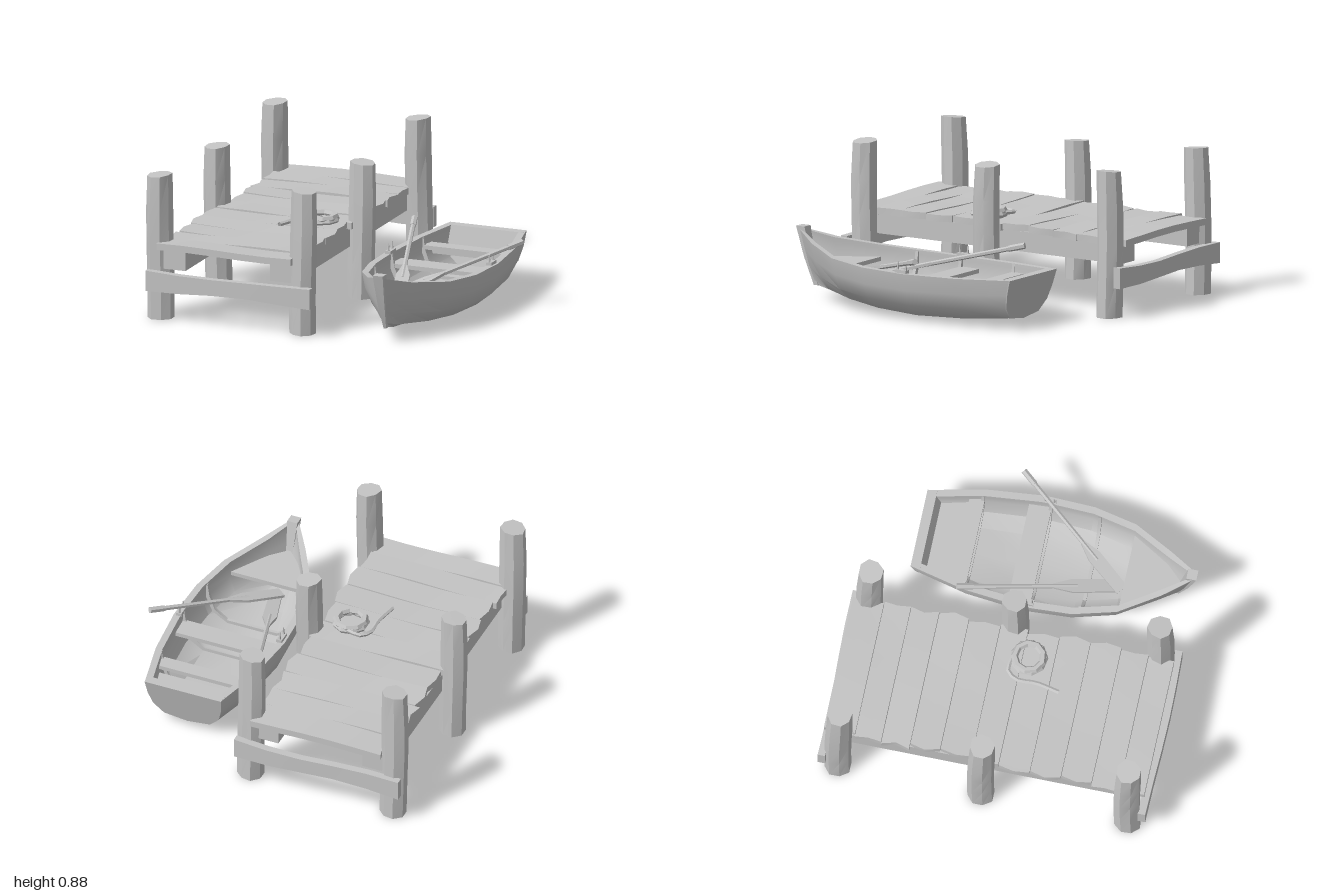
import * as THREE from 'three';
import { toCreasedNormals } from 'three/addons/utils/BufferGeometryUtils.js';

const wood = new THREE.MeshStandardMaterial({ color: 0xc4c4c4, side: THREE.DoubleSide });
wood.name = 'weatheredGrey';

let seed = 7;
const rand = () => { seed = (seed * 16807) % 2147483647; return seed / 2147483647 - 0.5; };

function part(parent, name, geo, x = 0, y = 0, z = 0) {
  const mesh = new THREE.Mesh(toCreasedNormals(geo, 0.6), wood);
  mesh.name = name;
  mesh.position.set(x, y, z);
  parent.add(mesh);
  return mesh;
}

// Move every vertex by a rule fn(v)
function warp(geo, fn) {
  const p = geo.attributes.position, v = new THREE.Vector3();
  for (let i = 0; i < p.count; i++) {
    v.fromBufferAttribute(p, i);
    fn(v);
    p.setXYZ(i, v.x, v.y, v.z);
  }
  return geo;
}

// Skin closed rings of equal length, with fan caps at both ends
function loft(rings) {
  const n = rings[0].length, pos = rings.flat(2), idx = [];
  for (let r = 0; r < rings.length - 1; r++) {
    for (let i = 0; i < n; i++) {
      const a = r * n + i, b = r * n + (i + 1) % n;
      idx.push(a, b, a + n, b, b + n, a + n);
    }
  }
  const last = (rings.length - 1) * n;
  for (let i = 1; i < n - 1; i++) {
    idx.push(0, i + 1, i, last, last + i, last + i + 1);
  }
  const geo = new THREE.BufferGeometry();
  geo.setAttribute('position', new THREE.Float32BufferAttribute(pos, 3));
  geo.setIndex(idx);
  return geo;
}

// Flat board from an outline in x and z, top at height y
function board(parent, name, outline, y, thick) {
  const shape = new THREE.Shape(outline.map(([x, z]) => new THREE.Vector2(x, z)));
  const geo = new THREE.ExtrudeGeometry(shape, { depth: thick, bevelEnabled: false }).rotateX(Math.PI / 2);
  return part(parent, name, geo, 0, y, 0);
}

function createDock() {
  const dock = new THREE.Group();
  dock.name = 'dock';
  // Rough posts
  for (const [x, z, h] of [[-0.905, 0.87, 0.87], [0.015, 0.87, 0.87], [-0.91, -0.01, 0.82],
    [0.02, -0.005, 0.82], [-0.905, -0.87, 0.87], [0.01, -0.87, 0.87]]) {
    const s = rand() * 9;
    const geo = new THREE.CylinderGeometry(0.08, 0.08, h, 8, 4).rotateY(0.3 + rand() * 0.3).translate(0, h / 2, 0);
    warp(geo, (v) => {
      const k = 1 + 0.05 * Math.sin(3 * Math.atan2(v.z, v.x) + s + v.y * 2);
      const top = v.y > h - 0.01 ? 0.93 : 1;
      if (v.y > h - 0.01) v.y += 0.1 * (v.x * Math.sin(s) + v.z * Math.cos(s));
      v.x = v.x * k * top + 0.006 * Math.sin(v.y * 5 + s);
      v.z = v.z * k * top + 0.006 * Math.cos(v.y * 4 + s);
    });
    part(dock, 'post', geo, x, 0, z);
  }
  // Low cross beams on both ends
  for (const [x, z, s] of [[-0.425, 0.968, 1], [-0.45, -0.962, 3]]) {
    const geo = new THREE.BoxGeometry(1.05, 0.11, 0.045, 5, 1, 1);
    warp(geo, (v) => {
      v.y += 0.006 * Math.sin(v.x * 7 + s) + 0.008 * Math.cos(v.x * 5) * Math.sign(v.y) * -1;
      v.z += 0.008 * Math.sin(v.x * 5 + s);
    });
    part(dock, 'crossBeam', geo, x, 0.245, z);
  }
  // Stringers under the deck
  for (const x of [-0.79, -0.11]) {
    part(dock, 'stringer', new THREE.BoxGeometry(0.14, 0.12, 1.84), x, 0.37, 0);
  }
  // Deck planks with ragged ends
  const seams = [-0.97, -0.78, -0.62, -0.45, -0.27, -0.08, 0.085, 0.275, 0.46, 0.645, 0.81, 0.965];
  for (let i = 0; i < seams.length - 1; i++) {
    const d = seams[i + 1] - seams[i], z = (seams[i] + seams[i + 1]) / 2;
    const l = -0.885 - 0.02 * z + rand() * 0.03, r = -0.01 + rand() * 0.03;
    const tilt = rand() * 0.06, skew = rand() * 0.1, s = rand() * 9;
    const geo = new THREE.BoxGeometry(r - l, 0.04, d - 0.003, 5, 1, 2);
    warp(geo, (v) => {
      const end = Math.abs(v.x) > (r - l) * 0.49;
      if (end) v.x -= Math.sign(v.x) * 0.012 * (1 + Math.sin(v.z * 40 + s));
      v.y += tilt * v.z + 0.006 * Math.sin(v.x * 6 + s) + skew * v.x * v.z;
    });
    part(dock, 'deckPlank', geo, (l + r) / 2, 0.447, z);
  }
  // Coiled rope with a loose end
  for (const [y, r, turn] of [[0.483, 0.092, 0], [0.5, 0.086, 0.3]]) {
    part(dock, 'ropeCoil', new THREE.TorusGeometry(r, 0.022, 6, 9).rotateX(Math.PI / 2).rotateY(turn), -0.19, y, 0.125);
  }
  const tail = new THREE.CatmullRomCurve3([[-0.21, 0.49, 0.03], [-0.29, 0.485, 0.02], [-0.335, 0.48, 0.08],
    [-0.335, 0.48, 0.2], [-0.365, 0.485, 0.34]].map((p) => new THREE.Vector3(...p)));
  part(dock, 'ropeEnd', new THREE.TubeGeometry(tail, 10, 0.013, 5));
  return dock;
}

const CX = 0.535;
// Hull stations: z at rim, z at keel, half width, rim height, keel height, sharpness
const stations = [
  [-0.68, -0.61, 0.245, 0.31, 0.045, 0], [-0.35, -0.33, 0.32, 0.3, 0.018, 0],
  [0, 0, 0.355, 0.296, 0.006, 0], [0.3, 0.29, 0.342, 0.302, 0.016, 0.1],
  [0.56, 0.53, 0.28, 0.32, 0.035, 0.3], [0.8, 0.74, 0.14, 0.362, 0.06, 0.6],
  [0.97, 0.87, 0.022, 0.415, 0.09, 0.8]];
const section = [[1, 1], [0.96, 0.65], [0.86, 0.33], [0.6, 0.08], [0, 0]];

function halfRing([zt, zb, w, yt, yb, sharp]) {
  return section.map(([h, v]) => [w * Math.pow(h, 1 + sharp * 1.5), yb + (yt - yb) * v, zb + (zt - zb) * v]);
}
// Mirror a half outline (rim to keel) into a full one
const fullRing = (half) => [...half, ...half.slice(0, -1).reverse().map(([x, y, z]) => [-x, y, z])]
  .map(([x, y, z]) => [CX + x, y, z]);

function halfWidthAt(z) {
  let i = 0;
  while (i < stations.length - 2 && stations[i + 1][0] < z) i++;
  const a = stations[i], b = stations[i + 1];
  return a[2] + (b[2] - a[2]) * (z - a[0]) / (b[0] - a[0]);
}

function createBoat() {
  const boat = new THREE.Group();
  boat.name = 'rowingBoat';
  // Hull shell: outside skin, rim and inside skin
  const rings = stations.map((s) => {
    const outer = halfRing(s), floor = s[4] + 0.035;
    const inner = outer.map(([x, y, z], i) => [Math.max(0, x - (i ? 0.025 : 0.042)), Math.max(y, floor), z]);
    const lip = [inner[0][0], inner[0][1] - 0.025, inner[0][2]];
    return [...fullRing(outer), ...fullRing([inner[0], lip, ...inner.slice(1)]).reverse()];
  });
  const shell = loft(rings);
  // Leave the ends open; transom and stem close them
  const n = rings[0].length;
  shell.setIndex(Array.from(shell.index.array).slice(0, (rings.length - 1) * n * 6));
  part(boat, 'hull', shell);
  // Transom
  const stern = fullRing(halfRing(stations[0]));
  part(boat, 'transom', loft([stern.map(([x, y, z]) => [x, y, z - 0.008]), stern.map(([x, y, z]) => [x, y, z + 0.05])]));
  // Stem post
  const stemRing = (y, z, w, d) => [[CX - w, y, z], [CX + w, y, z], [CX + w, y, z - d], [CX - w, y, z - d]];
  part(boat, 'stem', loft([stemRing(0.085, 0.875, 0.008, 0.03), stemRing(0.25, 0.935, 0.022, 0.05), stemRing(0.432, 0.985, 0.032, 0.06)]));
  // Seats across the hull
  const across = (name, z0, z1, y, thick, gap) => {
    const a = halfWidthAt(z0) - gap, b = halfWidthAt(z1) - gap;
    board(boat, name, [[CX - a, z0], [CX + a, z0], [CX + b, z1], [CX - b, z1]], y, thick);
  };
  across('sternSeat', -0.63, -0.44, 0.2, 0.02, 0.04);
  across('rearThwart', -0.44, -0.35, 0.25, 0.025, 0.035);
  across('middleThwart', -0.09, 0.045, 0.235, 0.025, 0.04);
  board(boat, 'bowSeat', [[0.29, 0.56], [0.78, 0.56], [0.66, 0.76], [0.545, 0.88], [0.525, 0.88], [0.41, 0.76]], 0.25, 0.025);
  // Ribs inside the hull
  for (const z of [-0.36, 0.04, 0.34]) {
    const w = halfWidthAt(z);
    const pts = [[0.92, 0.28], [0.88, 0.2], [0.77, 0.11], [0.52, 0.055]].map(([h, y]) => [w * h, y]);
    const line = [...pts, ...pts.slice().reverse().map(([x, y]) => [-x, y])];
    const shape = new THREE.Shape([...line, ...line.slice().reverse().map(([x, y]) => [x * 0.93, y + 0.02])]
      .map(([x, y]) => new THREE.Vector2(x, y)));
    part(boat, 'rib', new THREE.ExtrudeGeometry(shape, { depth: 0.02, bevelEnabled: false }), CX, 0, z - 0.01);
  }
  // Oars: round shaft and flat blade
  for (const [name, from, to] of [['rightOar', [0.19, 0.4, -0.39], [0.47, 0.17, 0.52]],
    ['leftOar', [0.98, 0.4, -0.15], [0.44, 0.2, 0.55]]]) {
    const a = new THREE.Vector3(...from), b = new THREE.Vector3(...to), len = a.distanceTo(b);
    const oar = new THREE.Group();
    oar.name = name;
    part(oar, 'shaft', new THREE.CylinderGeometry(0.013, 0.015, len * 0.75, 6).rotateX(Math.PI / 2), 0, 0, len * 0.375);
    part(oar, 'grip', new THREE.CylinderGeometry(0.019, 0.019, 0.1, 6).rotateX(Math.PI / 2), 0, 0, 0.05);
    board(oar, 'blade', [[-0.013, len * 0.6], [0.013, len * 0.6], [0.042, len * 0.72], [0.038, len], [-0.038, len], [-0.042, len * 0.72]], 0.008, 0.016);
    oar.position.copy(a);
    oar.lookAt(b);
    boat.add(oar);
  }
  // Oarlocks on the rim
  for (const [x, z] of [[0.213, 0.03], [0.857, 0.03]]) {
    part(boat, 'oarlockBase', new THREE.BoxGeometry(0.035, 0.02, 0.08), x, 0.305, z);
    for (const dz of [-0.028, 0.028]) {
      part(boat, 'oarlockPin', new THREE.CylinderGeometry(0.003, 0.009, 0.05, 5), x, 0.335, z + dz);
    }
  }
  return boat;
}

export function createModel() {
  const model = new THREE.Group();
  model.name = 'dockWithRowingBoat';
  model.add(createDock(), createBoat());
  return model;
}
